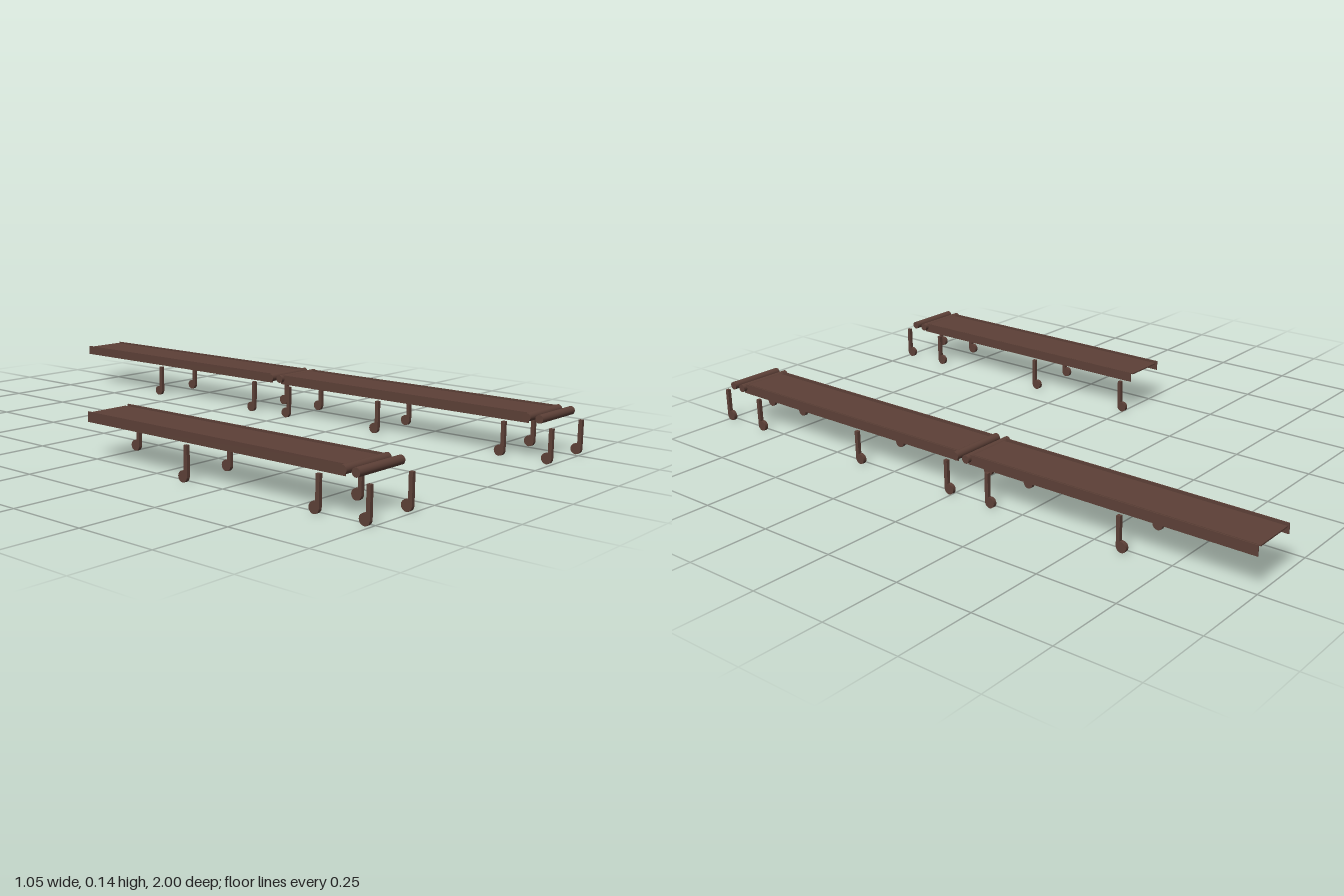
import * as THREE from 'three';

const brown = new THREE.MeshStandardMaterial({ color: 0x5d4037, side: THREE.DoubleSide });
const HALF = 0.0925; // half width over the rollers
const LEG_X = HALF - 0.006;

function addMesh(parent, name, geometry, x, y, z) {
  const mesh = new THREE.Mesh(geometry, brown);
  mesh.name = name;
  mesh.position.set(x, y, z);
  parent.add(mesh);
  return mesh;
}

// Upright bar with a round foot tucked behind it; z is the bar's front face
function addLeg(parent, x, z) {
  const leg = new THREE.Group();
  leg.name = 'leg';
  leg.position.set(x, 0, z);
  addMesh(leg, 'legBar', new THREE.BoxGeometry(0.0115, 0.09, 0.012), 0, 0.06, -0.006);
  addMesh(leg, 'foot', new THREE.CylinderGeometry(0.0165, 0.0165, 0.0115, 16).rotateZ(Math.PI / 2), 0, 0.0165, -0.0165);
  parent.add(leg);
}

// One conveyor section, front leg at z = 1
function createSection() {
  const section = new THREE.Group();
  section.name = 'conveyorSection';
  const back = -0.024, front = 0.915;
  const length = front - back, middle = (front + back) / 2;

  // Belt deck and thin side rails
  addMesh(section, 'deck', new THREE.BoxGeometry(0.134, 0.004, length), 0, 0.134, middle);
  for (const side of [-1, 1]) {
    addMesh(section, 'sideRail', new THREE.BoxGeometry(0.003, 0.031, length), side * 0.0785, 0.1245, middle);
  }

  // End roller and the separate roller in front of it
  for (const z of [0.915, 0.956]) {
    addMesh(section, 'roller', new THREE.CylinderGeometry(0.0127, 0.0127, HALF * 2, 20).rotateZ(Math.PI / 2), 0, 0.1275, z);
  }

  // Three pairs of legs
  for (const z of [1, 0.845, 0.39]) {
    for (const side of [-1, 1]) addLeg(section, side * LEG_X, z);
  }
  return section;
}

export function createModel() {
  const model = new THREE.Group();
  model.name = 'conveyors';

  // Long run of two sections on the left, a single section on the right
  for (const [x, z] of [[0.431, 0], [0.431, -0.977], [-0.431, 0]]) {
    const section = createSection();
    section.position.set(x, 0, z);
    model.add(section);
  }

  // Single inner leg at the back of the short run
  addLeg(model, -0.431 + LEG_X, 0.02);
  return model;
}
